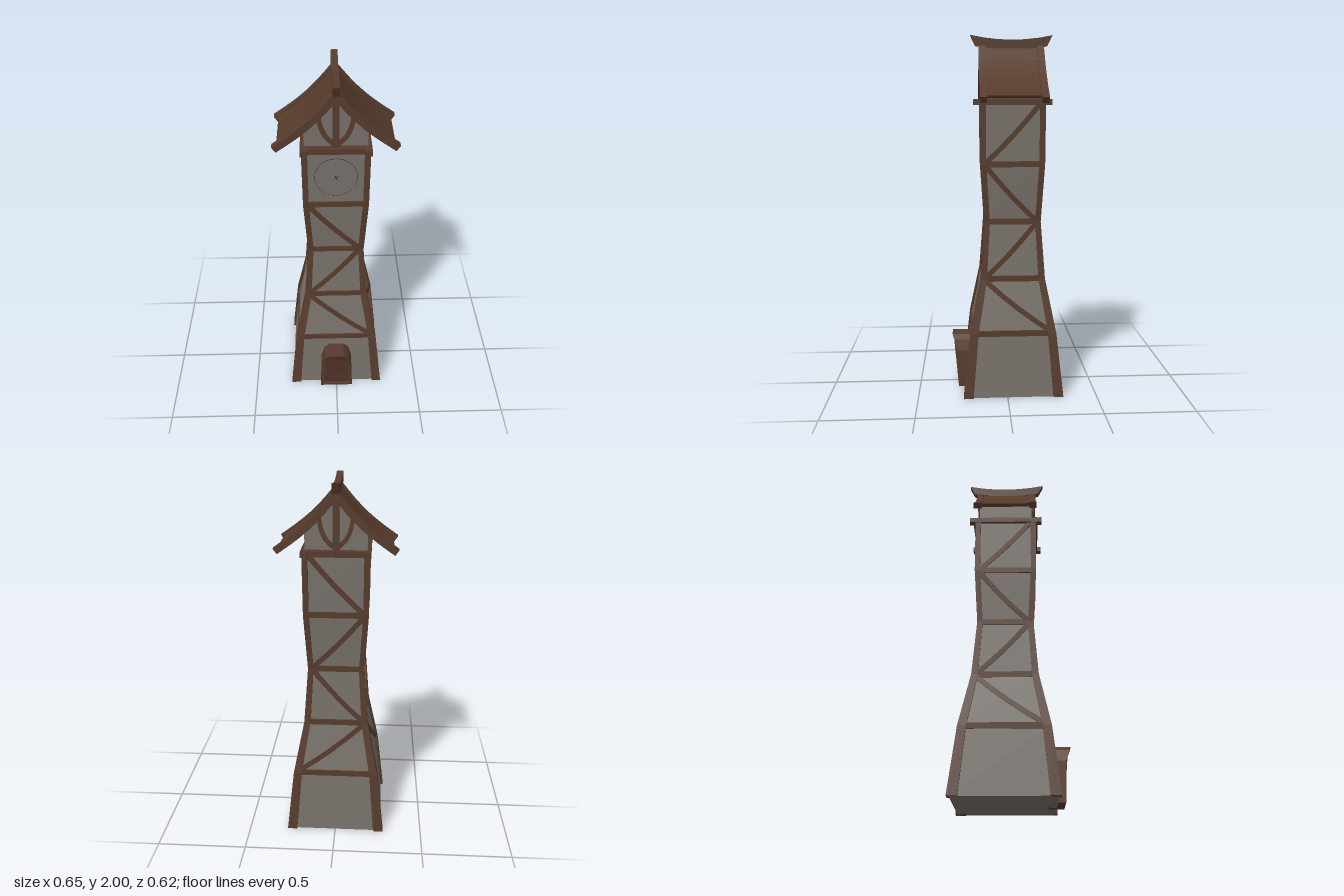
import * as THREE from 'three';

const mat = (name, color, extra = {}) => Object.assign(new THREE.MeshStandardMaterial({ color, ...extra }), { name });
const CZ = -0.033; // tower axis in z

// Piecewise linear lookups over height
const lerpTable = (table) => (y) => {
  for (let i = 1; i < table.length; i++) {
    const [y0, a] = table[i - 1], [y1, b] = table[i];
    if (y <= y1) return a + (b - a) * (y - y0) / (y1 - y0);
  }
  return table[table.length - 1][1];
};
const postHalf = lerpTable([[0, 0.279], [0.36, 0.24], [0.66, 0.18], [0.98, 0.156], [1.3, 0.176], [1.64, 0.178]]);
const postWidth = lerpTable([[0, 0.055], [0.36, 0.046], [0.66, 0.036], [0.98, 0.03], [1.64, 0.031]]);
const wallHalf = (y) => postHalf(y) - 0.012;
const LEVELS = [0, 0.36, 0.66, 0.98, 1.3, 1.64];

// Flat-shaded skin over four-cornered sections, with end caps
function loft(sections) {
  const pos = [];
  const quad = (a, b, c, d) => [a, b, c, a, c, d].forEach((p) => pos.push(...p));
  for (let i = 1; i < sections.length; i++) {
    const a = sections[i - 1], b = sections[i];
    for (let j = 0; j < 4; j++) {
      const k = (j + 1) % 4;
      quad(a[j], a[k], b[k], b[j]);
    }
  }
  const s = sections[0], e = sections[sections.length - 1];
  quad(s[3], s[2], s[1], s[0]);
  quad(e[0], e[1], e[2], e[3]);
  const g = new THREE.BufferGeometry();
  g.setAttribute('position', new THREE.Float32BufferAttribute(pos, 3));
  g.computeVertexNormals();
  return g;
}

const rect = (y, x0, x1, z0, z1) => [[x0, y, z1], [x1, y, z1], [x1, y, z0], [x0, y, z0]];

// Timber following xy points, with front and back z given by functions of y
function strip(points, width, zFront, zBack) {
  return loft(points.map(([x, y], i) => {
    const p = points[Math.max(i - 1, 0)], q = points[Math.min(i + 1, points.length - 1)];
    const len = Math.hypot(q[0] - p[0], q[1] - p[1]);
    const nx = -(q[1] - p[1]) / len * width / 2, ny = (q[0] - p[0]) / len * width / 2;
    const f = zFront(y), b = zBack(y);
    return [[x - nx, y - ny, b], [x + nx, y + ny, b], [x + nx, y + ny, f], [x - nx, y - ny, f]];
  }));
}

const smoothPath = (pts, n) => new THREE.CatmullRomCurve3(pts.map(([x, y]) => new THREE.Vector3(x, y, 0)))
  .getPoints(n).map((p) => [p.x, p.y]);
const mirrorX = (pts, s) => pts.map(([x, y]) => [x * s, y]);

export function createModel() {
  const wallMat = mat('plaster', 0x77716a);
  const beamMat = mat('timber', 0x573c2d);
  const roofMat = mat('roof boards', 0x563a29);
  const doorMat = mat('door wood', 0x52352a);
  const darkMat = mat('dark metal', 0x2c2622);

  const model = new THREE.Group();
  model.name = 'clockTower';
  const tower = new THREE.Group();
  tower.name = 'tower';
  tower.position.z = CZ;
  model.add(tower);
  const add = (parent, name, geo, material, x = 0, y = 0, z = 0) => {
    const m = new THREE.Mesh(geo, material);
    m.name = name;
    m.position.set(x, y, z);
    parent.add(m);
    return m;
  };

  // Waisted plaster walls
  add(tower, 'walls', loft(LEVELS.map((y) => {
    const h = wallHalf(y);
    return rect(y, -h, h, -h, h);
  })), wallMat);

  // Corner posts
  for (const sx of [-1, 1]) for (const sz of [-1, 1]) {
    add(tower, 'cornerPost', loft(LEVELS.map((y) => {
      const h = postHalf(y), i = h - postWidth(y);
      const range = (s) => (s > 0 ? [i, h] : [-h, -i]);
      return rect(y, ...range(sx), ...range(sz));
    })), beamMat);
  }

  // Rails and braces: front, right, back, left; braces listed from the bottom up
  const front = (y) => wallHalf(y) + 0.007, back = (y) => wallHalf(y) - 0.01;
  ['\\/\\ ', '\\/\\/', '/\\/\\', '\\/\\/'].forEach((pattern, k) => {
    const face = new THREE.Group();
    face.name = 'timberFace';
    face.rotation.y = k * Math.PI / 2;
    tower.add(face);
    for (const y of LEVELS.slice(1, 5)) {
      const u = postHalf(y) - 0.02;
      add(face, 'rail', strip([[-u, y], [u, y]], 0.032, front, back), beamMat);
    }
    [...pattern].forEach((c, i) => {
      if (c === ' ') return;
      const y0 = LEVELS[i + 1] + 0.014, y1 = LEVELS[i + 2] - 0.014, s = c === '/' ? 1 : -1;
      const u0 = postHalf(y0) - 0.035, u1 = postHalf(y1) - 0.03;
      const path = [0, 0.25, 0.5, 0.75, 1].map((t) => [
        s * (-u0 + (u0 + u1) * t), y0 + (y1 - y0) * t - 0.012 * Math.sin(Math.PI * t)]);
      add(face, 'brace', strip(path, 0.027, front, back), beamMat);
    });
  });

  // Top plates crossing at the corners
  for (const s of [-1, 1]) {
    add(tower, 'crossPlate', new THREE.BoxGeometry(0.364, 0.032, 0.04), beamMat, 0, 1.635, s * 0.17);
    add(tower, 'sidePlate', new THREE.BoxGeometry(0.036, 0.03, 0.424), beamMat, s * 0.165, 1.635, 0);
  }

  // Gable block under the roof
  const gable = new THREE.Shape([[-0.163, 1.64], [0.163, 1.64], [0.163, 1.75], [0.075, 1.84], [0, 1.925],
    [-0.075, 1.84], [-0.163, 1.75]].map((p) => new THREE.Vector2(...p)));
  add(tower, 'gableWalls', new THREE.ExtrudeGeometry(gable, { depth: 0.31, bevelEnabled: false }), wallMat, 0, 0, -0.155);
  for (const k of [0, 1]) {
    const end = new THREE.Group();
    end.name = 'gableTimbers';
    end.rotation.y = k * Math.PI;
    tower.add(end);
    add(end, 'kingPost', strip([[0, 1.64], [0, 1.94]], 0.034, () => 0.172, () => 0.15), beamMat);
    for (const s of [-1, 1]) {
      const arc = smoothPath([[0.012, 1.665], [0.055, 1.71], [0.078, 1.765], [0.088, 1.825]], 6);
      add(end, 'curvedBrace', strip(mirrorX(arc, s), 0.022, () => 0.169, () => 0.15), beamMat);
    }
  }

  // Flared roof slopes with rafters at both ends
  const slope = [[0, 1.935], [0.075, 1.845], [0.15, 1.77], [0.23, 1.705], [0.315, 1.645]];
  const sheet = [...slope.slice(0, 4), [0.295, 1.66]];
  for (const s of [-1, 1]) {
    add(tower, 'roofSlope', strip(mirrorX(smoothPath(sheet, 14), s), 0.018, () => 0.15, () => -0.15), roofMat);
    for (const e of [-1, 1]) {
      add(tower, 'gableRafter', strip(mirrorX(smoothPath(slope, 8), s), 0.036,
        () => e * 0.162 + 0.019, () => e * 0.162 - 0.019), beamMat);
    }
  }

  // Sagging ridge beam with raked ends
  const ridge = new THREE.Shape();
  ridge.moveTo(-0.2, 1.942);
  ridge.quadraticCurveTo(0, 1.905, 0.2, 1.942);
  ridge.lineTo(0.228, 2);
  ridge.quadraticCurveTo(0, 1.95, -0.228, 2);
  const ridgeGeo = new THREE.ExtrudeGeometry(ridge, { depth: 0.036, bevelEnabled: false, curveSegments: 6 });
  ridgeGeo.translate(0, 0, -0.018).rotateY(Math.PI / 2);
  add(tower, 'ridgeBeam', ridgeGeo, beamMat);

  // Clock face
  const clock = new THREE.Group();
  clock.name = 'clock';
  clock.position.set(0, 1.47, wallHalf(1.47));
  tower.add(clock);
  add(clock, 'clockFace', new THREE.CylinderGeometry(0.112, 0.112, 0.008, 32).rotateX(Math.PI / 2), wallMat);
  add(clock, 'clockRim', new THREE.TorusGeometry(0.112, 0.0015, 4, 40), darkMat, 0, 0, 0.003);
  for (const a of [0.5, 1.9]) {
    add(clock, 'clockHand', new THREE.BoxGeometry(0.026, 0.003, 0.003), darkMat, 0, 0, 0.005).rotation.z = a;
  }

  // Arched door with a forward-leaning frame
  const arch = (w, h, base) => [[-w, base], [w, base], [w * 0.92, h * 0.72], [w * 0.74, h * 0.92], [w * 0.45, h],
    [-w * 0.45, h], [-w * 0.74, h * 0.92], [-w * 0.92, h * 0.72]].map((p) => new THREE.Vector2(...p));
  const lean = lerpTable([[0, 0.275], [0.21, 0.281], [0.27, 0.298], [0.298, 0.31]]);
  const archGeo = (shape, inset) => {
    const g = new THREE.ExtrudeGeometry(shape, { depth: 1, bevelEnabled: false });
    const p = g.attributes.position;
    for (let i = 0; i < p.count; i++) p.setZ(i, p.getZ(i) > 0.5 ? lean(p.getY(i)) - inset : 0.19);
    g.computeVertexNormals();
    return g;
  };
  const frame = new THREE.Shape(arch(0.098, 0.298, 0));
  frame.holes.push(new THREE.Path(arch(0.078, 0.274, 0.014)));
  const door = new THREE.Group();
  door.name = 'door';
  model.add(door);
  add(door, 'doorFrame', archGeo(frame, 0), beamMat);
  add(door, 'doorLeaf', archGeo(new THREE.Shape(arch(0.08, 0.276, 0.01)), 0.013), doorMat);
  add(door, 'doorKnob', new THREE.SphereGeometry(0.009, 10, 8), darkMat, 0.035, 0.135, 0.272);

  return model;
}
